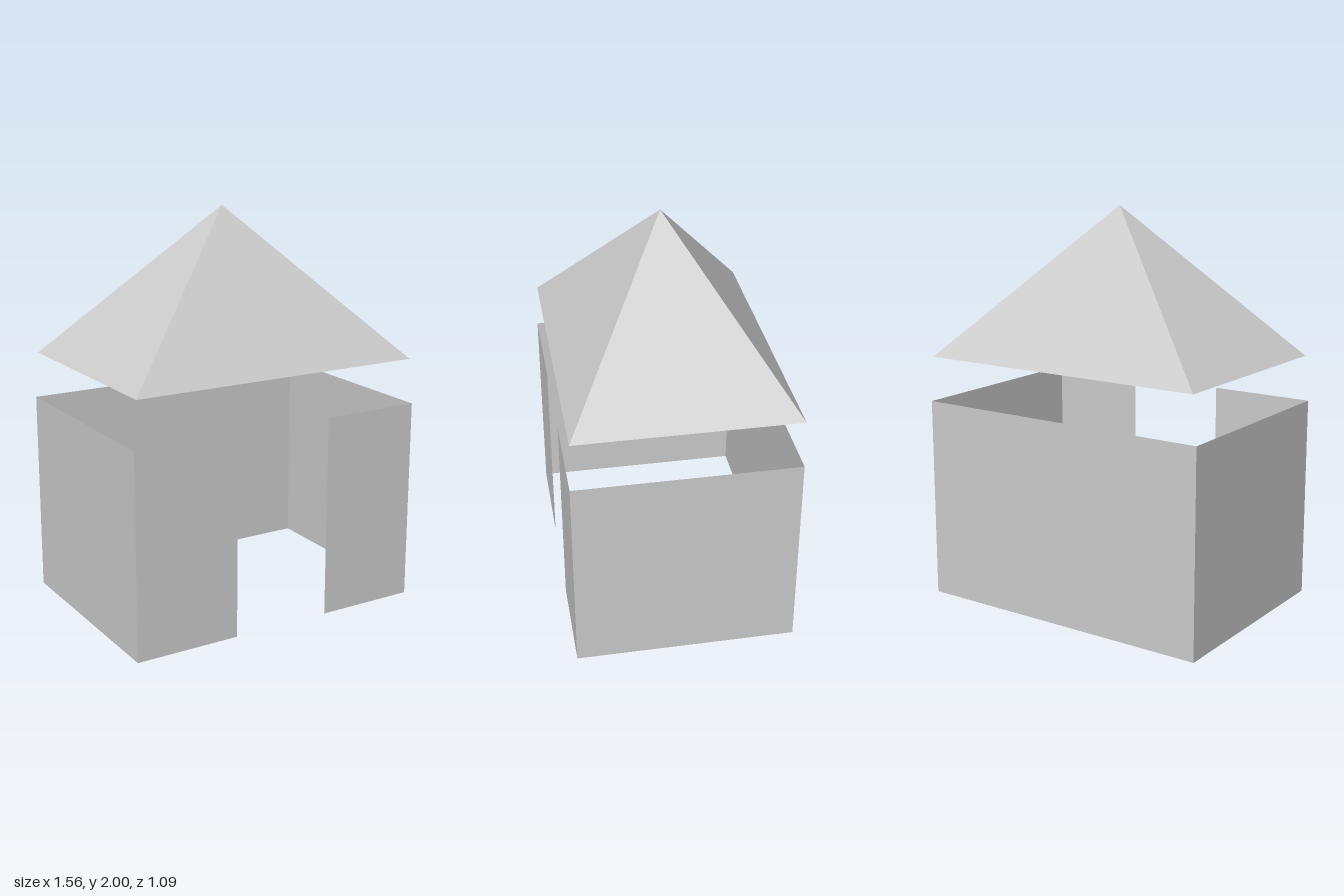
import * as THREE from 'three';

const W = 0.78, D = 0.543, H = 1.02; // wall half width, half depth, height

export function createModel() {
  const model = new THREE.Group();
  const plaster = new THREE.MeshStandardMaterial({ color: 0xcccccc, side: THREE.DoubleSide });
  plaster.name = 'light grey';

  // Thin upright panel centred at x, z and turned about y
  const addWall = (name, width, x, z, turn) => {
    const wall = new THREE.Mesh(new THREE.PlaneGeometry(width, H), plaster);
    wall.name = name;
    wall.position.set(x, H / 2, z);
    wall.rotation.y = turn;
    model.add(wall);
  };

  // Front wall in two panels with an open doorway between them
  const doorRight = -0.243, doorLeft = 0.27;
  addWall('frontWallRight', doorRight + W, (doorRight - W) / 2, D, 0);
  addWall('frontWallLeft', W - doorLeft, (W + doorLeft) / 2, D, 0);

  // Back and side walls
  addWall('backWall', 2 * W, 0, -D, Math.PI);
  addWall('leftWall', 2 * D, W, 0, Math.PI / 2);
  addWall('rightWall', 2 * D, -W, 0, -Math.PI / 2);

  // Floating pyramid roof, open underneath
  const apex = [0, 2, -0.004], eave = 1.25, rx = 0.76, back = -0.544, front = 0.535;
  const corners = [[-rx, eave, front], [rx, eave, front], [rx, eave, back], [-rx, eave, back]];
  const points = corners.flatMap((c, i) => [...c, ...corners[(i + 1) % 4], ...apex]);
  const roofGeometry = new THREE.BufferGeometry();
  roofGeometry.setAttribute('position', new THREE.Float32BufferAttribute(points, 3));
  roofGeometry.computeVertexNormals();
  const roof = new THREE.Mesh(roofGeometry, plaster);
  roof.name = 'roof';
  model.add(roof);

  return model;
}
